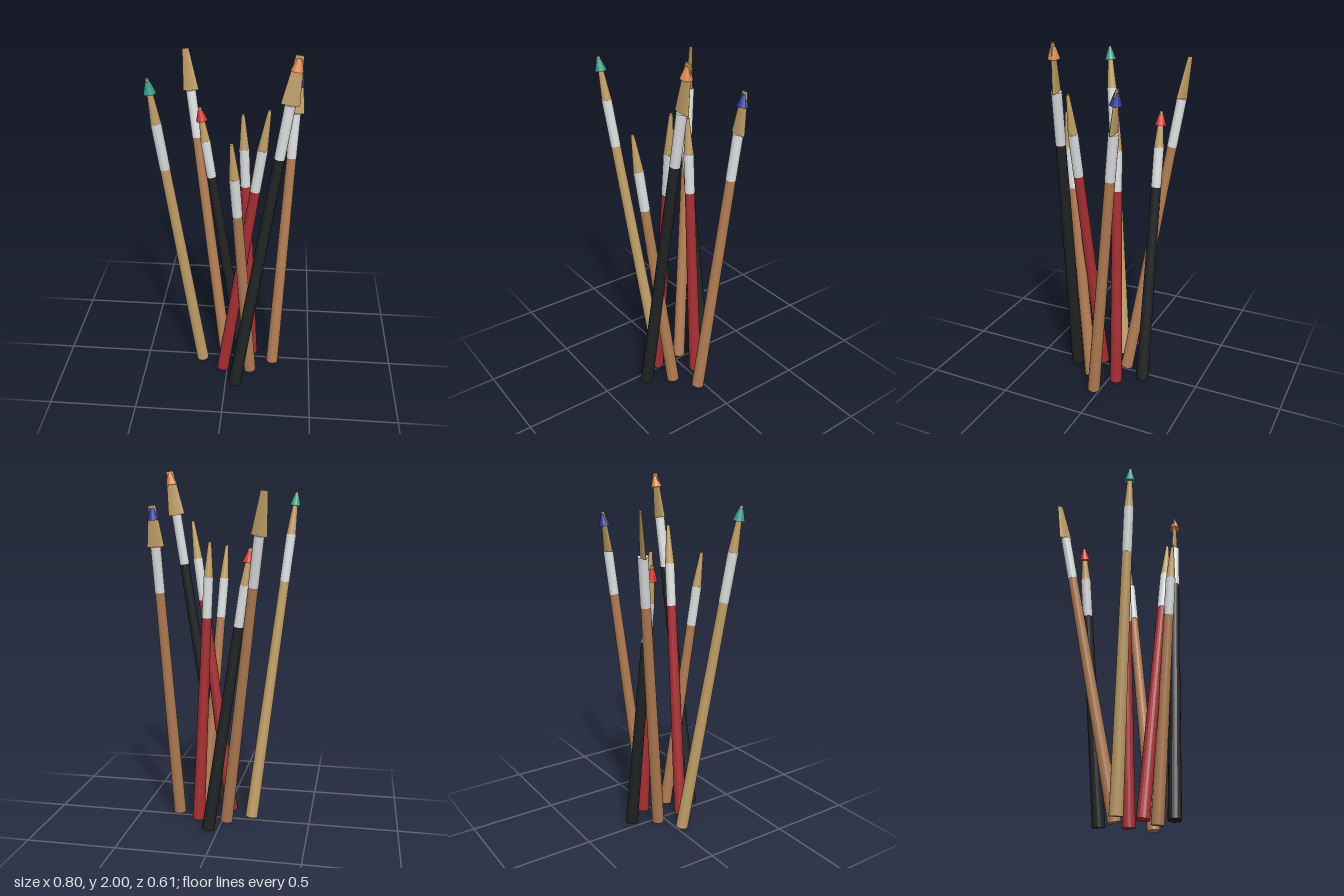
import * as THREE from 'three';

const mat = (name, color, flatShading = true) => {
  const m = new THREE.MeshStandardMaterial({ color, flatShading });
  m.name = name;
  return m;
};

export function createModel() {
  const model = new THREE.Group();
  model.name = 'paintbrushes';

  const tan = mat('tan', 0xc4a26a), brown = mat('brown', 0xb27d54);
  const red = mat('darkRed', 0xa83034), black = mat('black', 0x222324);
  const metal = mat('metal', 0xdedfe0);
  const teal = mat('tealPaint', 0x2f9a88), scarlet = mat('redPaint', 0xd2352a);
  const blue = mat('bluePaint', 0x2e37a0), orange = mat('orangePaint', 0xe08a54);

  // Base centre [x, z], tip [x, y, z], heights of handle and ferrule ends;
  // spin is given for flat brushes only
  const brushes = [
    { handle: tan, base: [-0.16, 0.035], tip: [-0.376, 1.88, 0.23], ends: [1.38, 1.645], paint: teal },
    { handle: brown, base: [-0.025, -0.045], tip: [-0.262, 1.875, -0.3], ends: [1.385, 1.65], spin: -0.3 },
    { handle: black, base: [0.055, -0.18], tip: [-0.175, 1.585, -0.176], ends: [1.167, 1.39], paint: scarlet },
    { handle: red, base: [0.14, -0.047], tip: [0.073, 1.61, -0.026], ends: [1.19, 1.415] },
    { handle: brown, base: [0.273, 0.035], tip: [0.36, 1.805, -0.158], ends: [1.335, 1.585], paint: blue, spin: 0 },
    { handle: brown, base: [0.139, 0.12], tip: [0.038, 1.58, 0.295], ends: [1.157, 1.385] },
    { handle: red, base: [-0.026, 0.117], tip: [0.218, 1.72, 0.187], ends: [1.265, 1.505] },
    { handle: black, base: [0.056, 0.253], tip: [0.353, 2, 0.187], ends: [1.47, 1.755], paint: orange, spin: 0.1 },
  ];

  for (const { handle, base, tip, ends, paint, spin } of brushes) {
    const flat = spin !== undefined;
    const foot = new THREE.Vector3(base[0], 0.006, base[1]);
    const axis = new THREE.Vector3(...tip).sub(foot);
    const length = axis.length();
    axis.normalize();

    const brush = new THREE.Group();
    brush.name = flat ? 'flatBrush' : 'roundBrush';
    brush.position.copy(foot);
    brush.quaternion.setFromUnitVectors(new THREE.Vector3(0, 1, 0), axis);

    // Tapered round section between two distances along the brush
    const section = (name, material, from, to, r0, r1) => {
      const geometry = new THREE.CylinderGeometry(r1, r0, to - from, 16);
      const mesh = new THREE.Mesh(geometry, material);
      mesh.name = name;
      mesh.position.y = (from + to) / 2;
      brush.add(mesh);
      return mesh;
    };
    const [handleEnd, ferruleEnd] = ends.map((y) => (y - foot.y) / axis.y);

    section('handle', handle, 0, handleEnd, 0.036, 0.027);
    section('ferrule', metal, handleEnd, ferruleEnd, 0.028, 0.028);
    const bristles = section('bristles', tan, ferruleEnd, length, flat ? 0.048 : 0.027, flat ? 0.02 : 0.009);
    if (flat) {
      bristles.scale.z = 0.25;
      bristles.rotation.y = spin;
    }
    // Cone of paint around the tip
    if (paint) section('paintTip', paint, length - 0.077, length - 0.014, 0.032, 0.012);
    model.add(brush);
  }
  return model;
}
